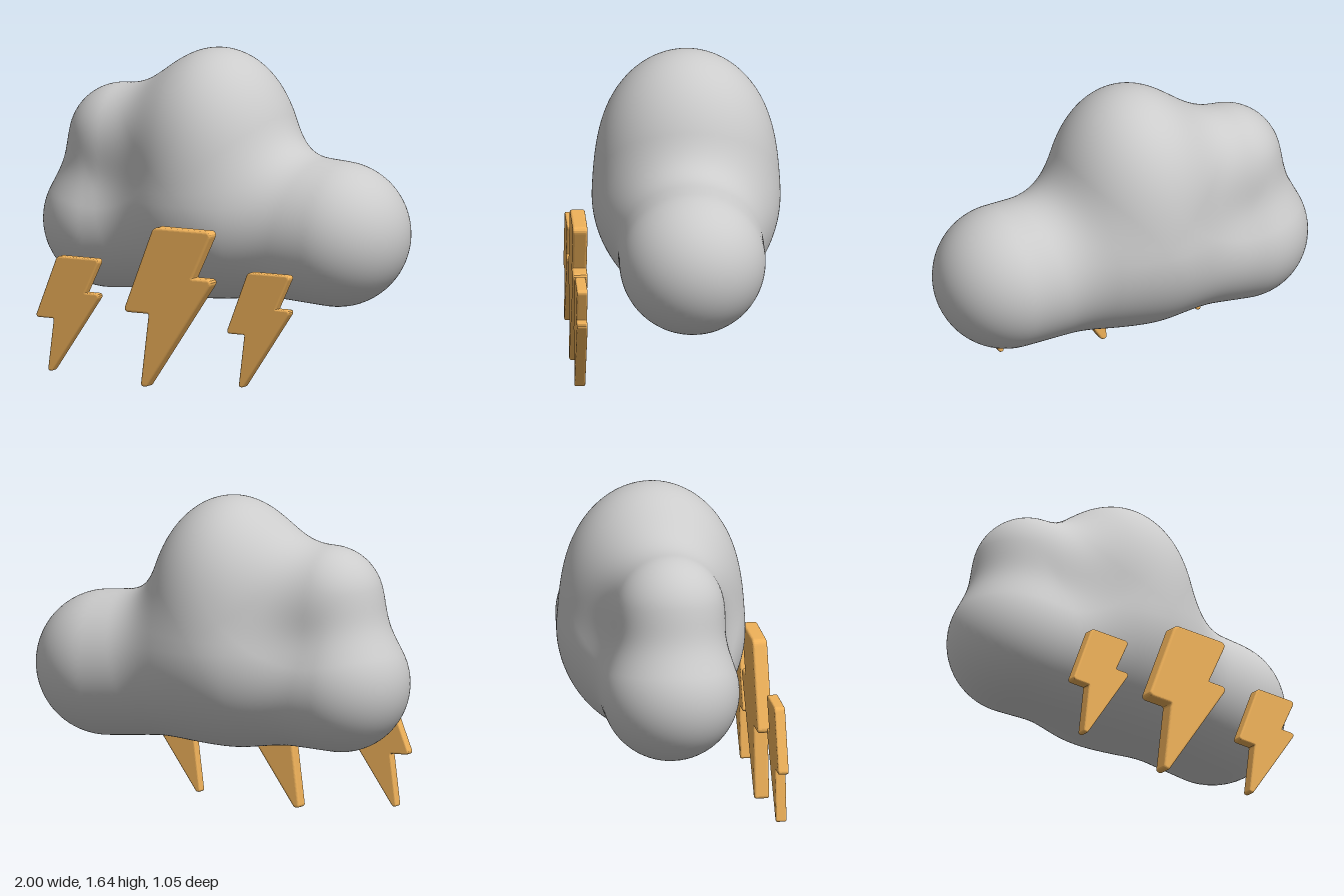
import * as THREE from 'three';

// Ellipsoid puffs: centre, radii, and the taller radius of the upper half
const DOMES = [
  { c: [-0.045, 0.9, -0.053], r: [0.435, 0.475, 0.47], up: 0.705 }, // middle
  { c: [-0.06, 1.22, -0.053], r: [0.29, 0.37, 0.35], up: 0.365 },   // crown
];
// Long rounded lobes reaching out of the middle: inner end, outer end, radius
const LOBES = [
  { a: [0.2, 0.785, -0.053], b: [0.635, 0.755, -0.053], r: 0.365 },   // left side
  { a: [-0.2, 0.765, -0.055], b: [-0.655, 0.735, -0.055], r: 0.345 }, // right side
  { a: [-0.2, 1.17, -0.05], b: [-0.585, 1.15, -0.05], r: 0.275 },     // upper right
];
const BLEND = 0.18;

function domeDistance(p, { c, r, up }) {
  const d = [p.x - c[0], p.y - c[1], p.z - c[2]];
  const radii = [r[0], d[1] > 0 ? up : r[1], r[2]];
  const k0 = Math.hypot(...d.map((v, i) => v / radii[i]));
  const k1 = Math.hypot(...d.map((v, i) => v / (radii[i] * radii[i])));
  return k1 < 1e-6 ? -Math.min(...radii) : (k0 * (k0 - 1)) / k1;
}

function lobeDistance(p, { a, b, r }) {
  const ab = b.map((v, i) => v - a[i]);
  const ap = [p.x - a[0], p.y - a[1], p.z - a[2]];
  const dot = (u, v) => u[0] * v[0] + u[1] * v[1] + u[2] * v[2];
  const t = THREE.MathUtils.clamp(dot(ap, ab) / dot(ab, ab), 0, 1);
  return Math.hypot(...ap.map((v, i) => v - t * ab[i])) - r;
}

// Smoothly blended distance to the whole cloud
function cloudDistance(p) {
  const distances = [...DOMES.map((s) => domeDistance(p, s)), ...LOBES.map((s) => lobeDistance(p, s))];
  return distances.reduce((d, e) => {
    const h = Math.max(BLEND - Math.abs(d - e), 0) / BLEND;
    return Math.min(d, e) - (h * h * BLEND) / 4;
  });
}

// A sphere whose vertices are pushed out to the blended surface
function cloudGeometry() {
  const geometry = new THREE.IcosahedronGeometry(1, 38);
  const pos = geometry.attributes.position;
  const nor = geometry.attributes.normal;
  const centre = new THREE.Vector3(-0.06, 0.84, -0.053);
  const dir = new THREE.Vector3(), p = new THREE.Vector3(), q = new THREE.Vector3(), n = new THREE.Vector3();
  const eps = 0.003;
  for (let i = 0; i < pos.count; i++) {
    dir.fromBufferAttribute(pos, i).normalize();
    let lo = 0, hi = 1.4;
    for (let s = 0; s < 16; s++) {
      const mid = (lo + hi) / 2;
      if (cloudDistance(p.copy(centre).addScaledVector(dir, mid)) < 0) lo = mid;
      else hi = mid;
    }
    p.copy(centre).addScaledVector(dir, lo);
    for (const axis of ['x', 'y', 'z']) {
      q.copy(p)[axis] += eps;
      const ahead = cloudDistance(q);
      q[axis] -= 2 * eps;
      n[axis] = ahead - cloudDistance(q);
    }
    n.normalize();
    pos.setXYZ(i, p.x, p.y, p.z);
    nor.setXYZ(i, n.x, n.y, n.z);
  }
  return geometry;
}

// Lightning bolt outline: x, y, corner radius; front face ends at z = 0
function boltGeometry() {
  const bevel = 0.012, depth = 0.075;
  const corners = [
    [-0.094, 0.797, 0.02], [0.218, 0.797, 0.02], [0.103, 0.555, 0.026], [0.222, 0.555, 0.02],
    [-0.147, 0.013, 0.004], [-0.16, 0.013, 0.004], [-0.114, 0.382, 0.026], [-0.256, 0.382, 0.014],
  ];
  const shape = new THREE.Shape();
  corners.forEach(([x, y, r], i) => {
    const at = new THREE.Vector2(x, y);
    const towards = (j) => {
      const [ox, oy] = corners[(j + corners.length) % corners.length];
      return new THREE.Vector2(ox, oy).sub(at).setLength(r).add(at);
    };
    const a = towards(i - 1), b = towards(i + 1);
    if (i === 0) shape.moveTo(a.x, a.y);
    else shape.lineTo(a.x, a.y);
    shape.quadraticCurveTo(x, y, b.x, b.y);
  });
  shape.closePath();
  const geometry = new THREE.ExtrudeGeometry(shape, {
    depth: depth - 2 * bevel, bevelEnabled: true, bevelThickness: bevel,
    bevelSize: bevel, bevelSegments: 4, curveSegments: 5,
  });
  return geometry.translate(0, 0, bevel - depth);
}

export function createModel() {
  const model = new THREE.Group();
  model.name = 'stormCloud';

  const cloud = new THREE.Mesh(cloudGeometry(), new THREE.MeshStandardMaterial({ color: 0xcccccc }));
  cloud.name = 'cloud';
  model.add(cloud);

  // One large bolt in the middle, a smaller one on each side
  const boltShape = boltGeometry();
  const boltMaterial = new THREE.MeshStandardMaterial({ color: 0xf0b25a });
  const bolts = [
    ['middleBolt', 0, 0, 1],
    ['rightBolt', -0.576, 0.04, 0.72],
    ['leftBolt', 0.512, 0.04, 0.72],
  ];
  for (const [name, x, y, scale] of bolts) {
    const bolt = new THREE.Mesh(boltShape, boltMaterial);
    bolt.name = name;
    bolt.position.set(x, y, 0.525);
    bolt.scale.setScalar(scale);
    model.add(bolt);
  }
  return model;
}
